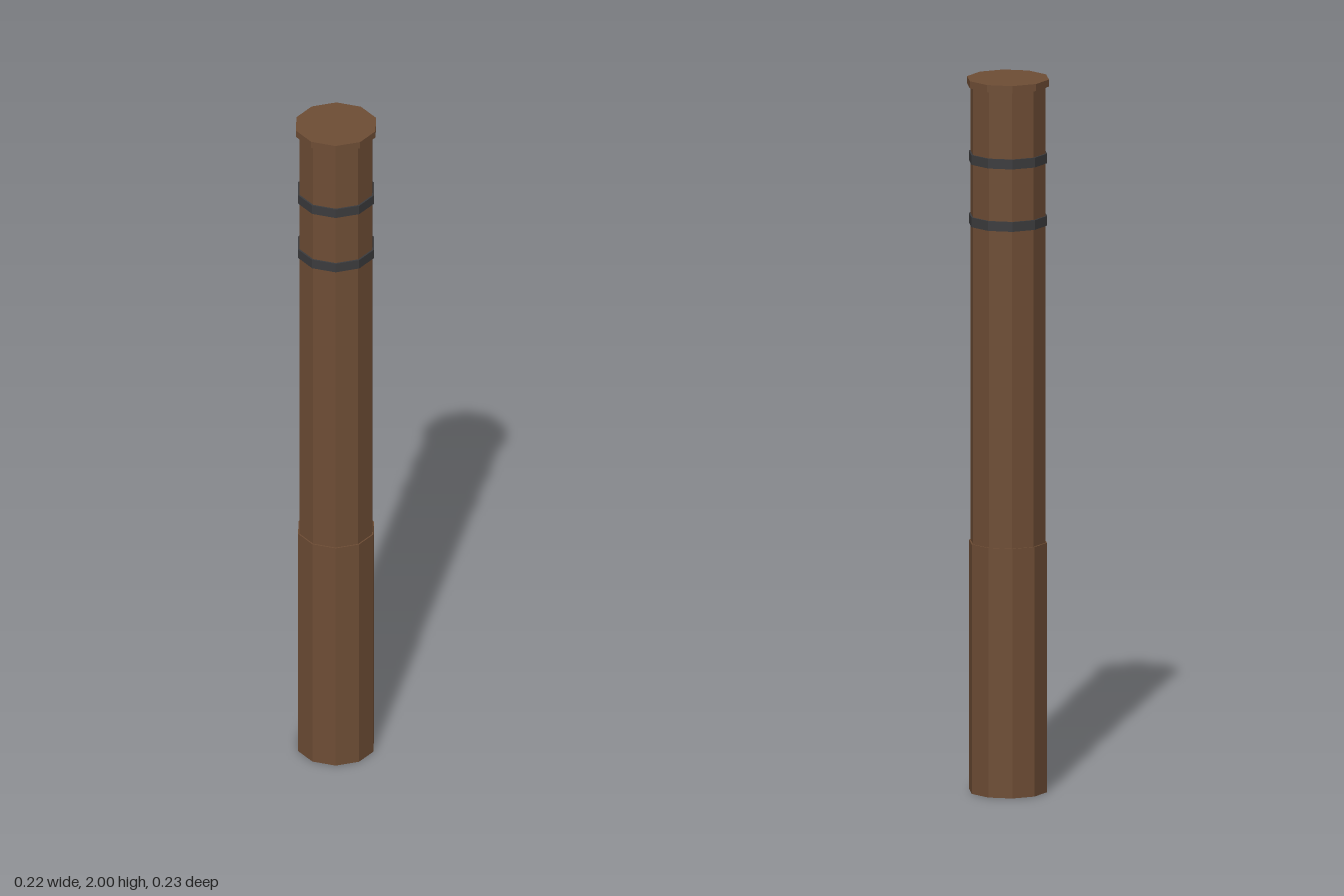
import * as THREE from 'three';

export function createModel() {
  const model = new THREE.Group();
  model.name = 'woodenPost';

  const wood = new THREE.MeshStandardMaterial({ color: 0x6e4d35, flatShading: true });
  wood.name = 'brown wood';
  const iron = new THREE.MeshStandardMaterial({ color: 0x3b3b3d, flatShading: true });
  iron.name = 'dark iron';

  // Ten-sided solid between two heights, with a corner facing the front
  function section(name, radius, bottom, top, material) {
    const geometry = new THREE.CylinderGeometry(radius, radius, top - bottom, 10);
    const mesh = new THREE.Mesh(geometry, material);
    mesh.name = name;
    mesh.position.y = (bottom + top) / 2;
    model.add(mesh);
  }

  // Thicker foot, main shaft and overhanging cap
  section('base', 0.109, 0, 0.7, wood);
  section('shaft', 0.105, 0.7, 1.98, wood);
  section('cap', 0.115, 1.98, 2, wood);

  // Two metal bands near the top
  section('lowerBand', 0.11, 1.59, 1.617, iron);
  section('upperBand', 0.11, 1.765, 1.792, iron);

  return model;
}
